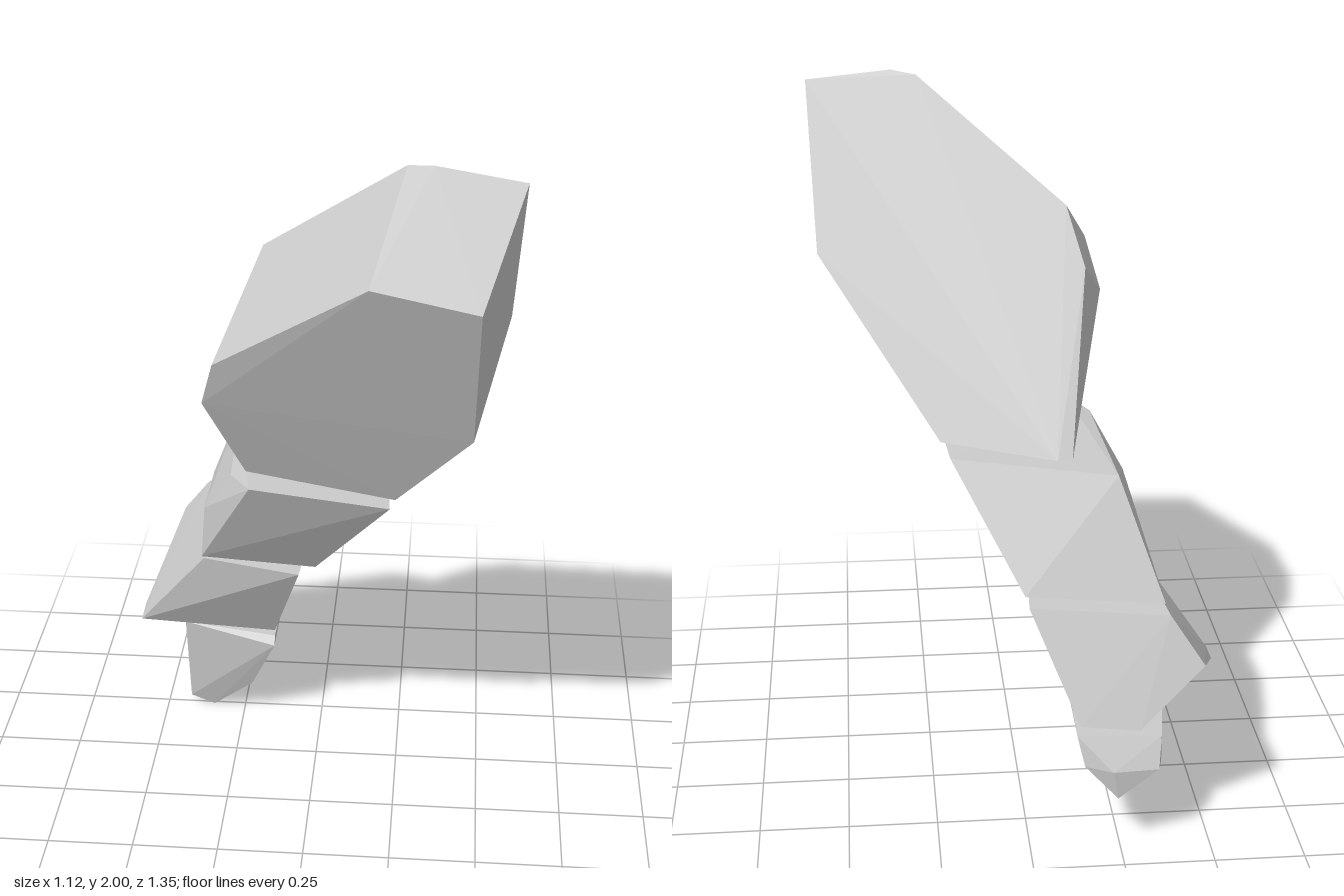
import * as THREE from 'three';
import { ConvexGeometry } from 'three/addons/geometries/ConvexGeometry.js';

// Corner points [x, y, z] of each faceted convex segment
const segments = {
  // Large block at the top, leaning forward and to the left
  upperBlock: [
    // slanted top face
    [0.25, 1.99, 0.2], [0.32, 2.0, 0.23], [0.56, 1.97, 0.26], [0.45, 1.775, 0.67], [0.175, 1.81, 0.615],
    // left side
    [0.54, 1.52, 0.05], [0.445, 1.34, 0.47],
    // right side and back ridge
    [-0.15, 1.67, -0.045], [-0.195, 1.515, -0.13], [-0.25, 1.475, 0.34], [-0.29, 1.33, 0.27],
    // underside
    [0.24, 1.06, 0.28], [0.215, 1.06, -0.25], [-0.1, 1.035, -0.353], [-0.14, 1.035, -0.355], [-0.185, 1.075, 0.17],
  ],
  // Upper of the two middle wedges
  middleBlock: [
    [0.225, 1.025, 0.27], [0.19, 1.02, -0.275], [-0.26, 1.01, -0.41], [-0.175, 1.03, 0.195], [-0.24, 1.015, 0.08],
    [-0.33, 0.86, 0.0],
    [0.0, 0.69, 0.03], [0.0, 0.69, -0.48], [-0.375, 0.69, -0.55], [-0.345, 0.685, -0.015],
  ],
  // Lower wedge with a spur pointing to the right
  lowerBlock: [
    [-0.05, 0.66, 0.03], [-0.01, 0.66, -0.49], [-0.39, 0.655, -0.555], [-0.345, 0.655, -0.055],
    [-0.48, 0.525, -0.605],
    [-0.565, 0.36, -0.26], [-0.565, 0.355, -0.175],
    [-0.14, 0.355, -0.14], [-0.14, 0.36, -0.62], [-0.3, 0.355, -0.645],
  ],
  // Tapered tip at the ground
  tipBlock: [
    [-0.43, 0.335, -0.2], [-0.14, 0.335, -0.14], [-0.14, 0.31, -0.12], [-0.13, 0.335, -0.625], [-0.36, 0.335, -0.64],
    [-0.35, 0.25, -0.675], [-0.225, 0.245, -0.675], [-0.15, 0.25, -0.645], [-0.16, 0.24, -0.62], [-0.24, 0.16, -0.67],
    [-0.22, 0.12, -0.32], [-0.22, 0.12, -0.19],
    [-0.35, 0.0, -0.24], [-0.345, 0.0, -0.275], [-0.425, 0.03, -0.24], [-0.425, 0.03, -0.275],
  ],
};

export function createModel() {
  const group = new THREE.Group();
  group.name = 'segmentedBlocks';
  const material = new THREE.MeshStandardMaterial({ color: 0xcccccc, flatShading: true });
  for (const [name, corners] of Object.entries(segments)) {
    const points = corners.map(([x, y, z]) => new THREE.Vector3(x, y, z));
    const mesh = new THREE.Mesh(new ConvexGeometry(points), material);
    mesh.name = name;
    group.add(mesh);
  }
  return group;
}
